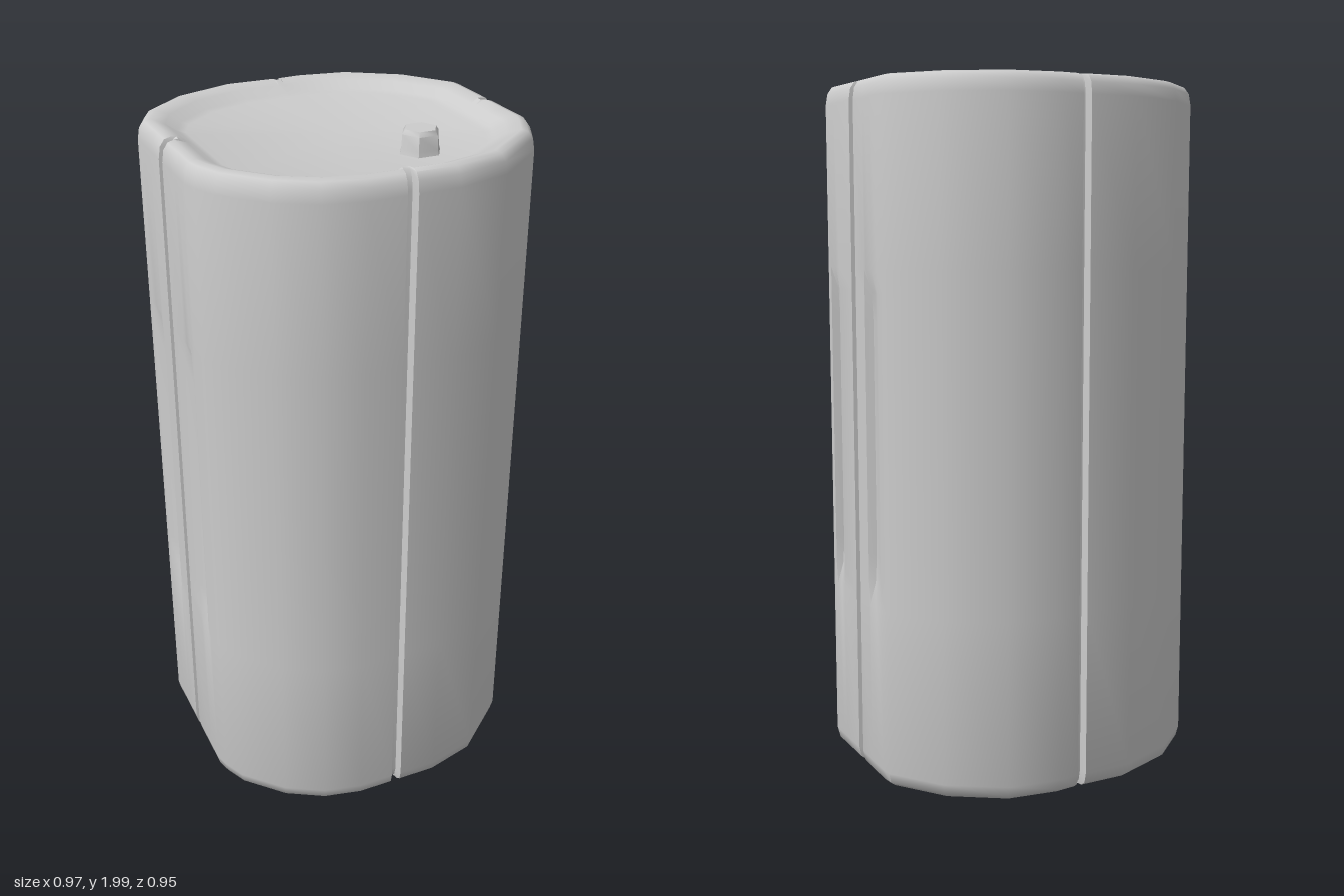
import * as THREE from 'three';
import { toCreasedNormals } from 'three/addons/utils/BufferGeometryUtils.js';

const GROOVE = 0.025, DENT = 0.022;

// outline point: x, z, groove share, dent share
const plain = (pts) => pts.map(([x, z]) => [x, z, 0, 0]);

// flat side at x = s * 0.486: two long finger dents either side of a groove
function sideFace(s) {
  const x = s * 0.486;
  const pts = [
    [x, 0.16, 0, 0], [x, 0.15, 0, 1], [x, 0.12, 0, 0.8], [x, 0.095, 0, 0],
    [x, 0, 0, 0], [x, -0.005, 1, 0], [x, -0.025, 1, 0], [x, -0.03, 0, 0],
    [x, -0.095, 0, 0], [x, -0.108, 0, 1], [x, -0.15, 0, 0.6], [x, -0.19, 0, 0],
  ];
  return s > 0 ? pts : pts.reverse();
}

// groove in a face at z, running from x0 to x1
function endGroove(z, x0, x1) {
  const d = (x1 - x0) * 0.18;
  return [[x0, z, 0, 0], [x0 + d, z, 1, 0], [x1 - d, z, 1, 0], [x1, z, 0, 0]];
}

// plan outline, from the front round by +x to the back and on
const outline = [
  ...endGroove(0.475, -0.025, 0.005),
  ...plain([[0.12, 0.475], [0.27, 0.435], [0.43, 0.3], [0.475, 0.21], [0.486, 0.178]]),
  ...sideFace(1),
  ...plain([[0.482, -0.22], [0.38, -0.36], [0.23, -0.458], [0.08, -0.48]]),
  ...endGroove(-0.474, 0.017, -0.008),
  ...plain([[-0.15, -0.474], [-0.32, -0.41], [-0.445, -0.3], [-0.487, -0.213]]),
  ...sideFace(-1),
  ...plain([[-0.486, 0.178], [-0.475, 0.22], [-0.445, 0.285], [-0.345, 0.39], [-0.24, 0.45], [-0.13, 0.475]]),
];

// rows from bottom centre to top centre: scale, y, groove fade, dent fade
const rows = [
  [0, 0.008, 0, 0], [0.88, 0.008, 0, 0], [0.95, 0.012, 0.8, 0], [0.985, 0.025, 1, 0], [1, 0.055, 1, 0],
  [1, 0.52, 1, 0], [1, 0.58, 1, 0.8], [1, 0.66, 1, 1], [1, 1.32, 1, 1], [1, 1.4, 1, 0.8], [1, 1.46, 1, 0],
  [1, 1.92, 1, 0], [0.99, 1.952, 1, 0], [0.965, 1.97, 1, 0], [0.93, 1.975, 0.6, 0],
  [0.86, 1.963, 0, 0], [0.8, 1.944, 0, 0], [0.76, 1.938, 0, 0], [0, 1.936, 0, 0],
];

function bodyGeometry() {
  const n = outline.length, pos = [], idx = [];
  for (const [scale, y, grooveFade, dentFade] of rows) {
    for (const [x, z, g, d] of outline) {
      const depth = g * grooveFade * GROOVE + d * dentFade * DENT;
      const onSide = Math.abs(x) > Math.abs(z);
      pos.push(scale * (x - (onSide ? Math.sign(x) * depth : 0)), y,
        scale * (z - (onSide ? 0 : Math.sign(z) * depth)));
    }
  }
  for (let i = 0; i < rows.length - 1; i++) {
    for (let j = 0; j < n; j++) {
      const k = (j + 1) % n;
      const a = i * n + j, b = i * n + k, c = b + n, d = a + n;
      if (rows[i][0] > 0) idx.push(a, b, d);
      if (rows[i + 1][0] > 0) idx.push(b, c, d);
      // fans that close the bottom and the top
      if (rows[i][0] === 0) idx.splice(-3, 3, a, c, d);
    }
  }
  const geo = new THREE.BufferGeometry();
  geo.setAttribute('position', new THREE.Float32BufferAttribute(pos, 3));
  geo.setIndex(idx);
  return toCreasedNormals(geo, 0.8);
}

export function createModel() {
  const group = new THREE.Group();
  group.name = 'canister';

  // grooved body with a dished top
  const body = new THREE.Mesh(bodyGeometry(), new THREE.MeshStandardMaterial({ color: 0xcccccc }));
  body.name = 'body';
  group.add(body);

  // six-sided stud near the front of the dish
  const profile = [[0.062, 1.925], [0.054, 1.95], [0.052, 1.988], [0.044, 2], [0, 2]]
    .map(([r, y]) => new THREE.Vector2(r, y));
  const stud = new THREE.Mesh(
    toCreasedNormals(new THREE.LatheGeometry(profile, 6, Math.PI / 6), 0.9),
    new THREE.MeshStandardMaterial({ color: 0xcccccc }));
  stud.name = 'stud';
  stud.position.set(0.13, 0, 0.232);
  group.add(stud);

  return group;
}
